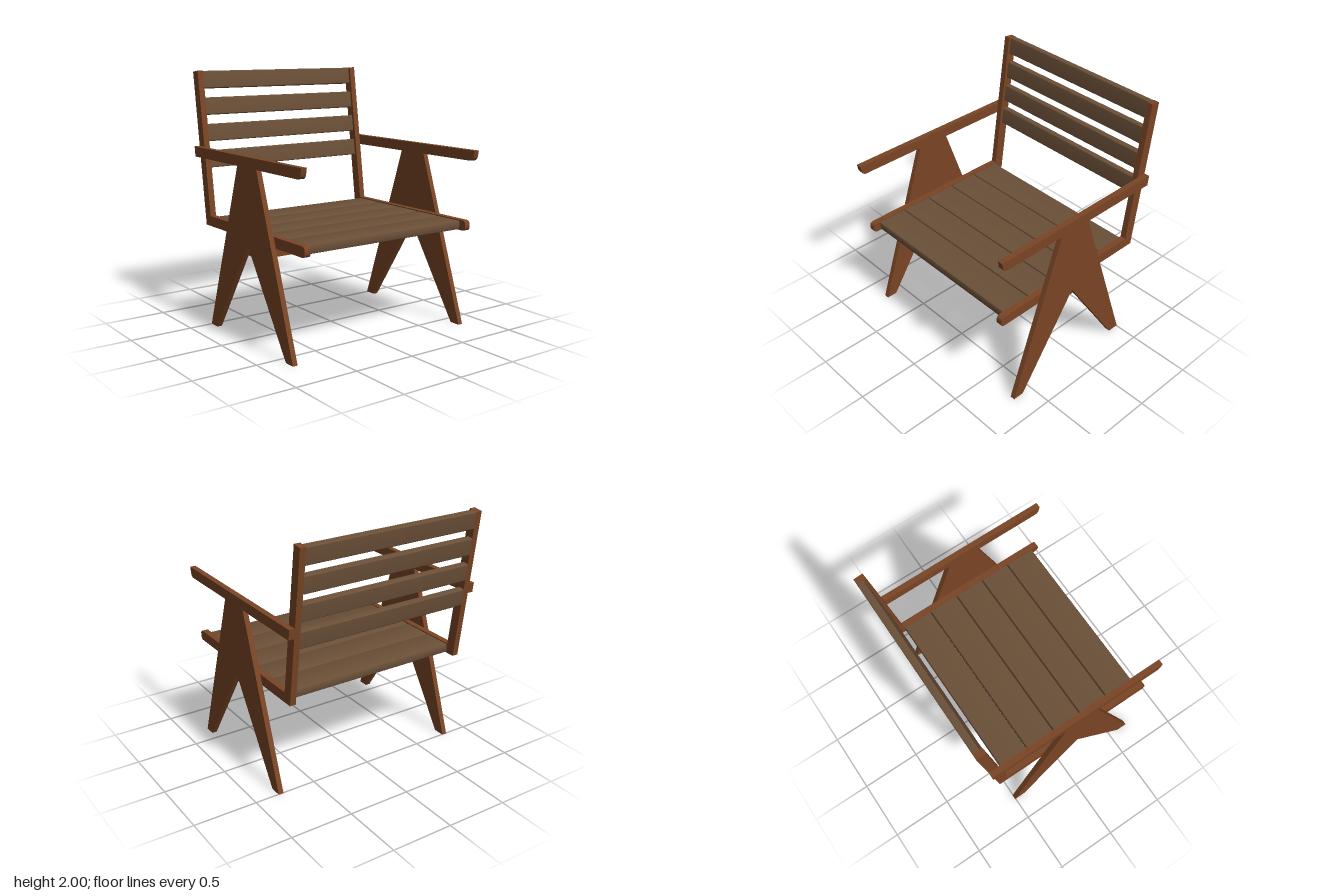
import * as THREE from 'three';
import { toCreasedNormals } from 'three/addons/utils/BufferGeometryUtils.js';

// Extrudes a side profile (drawn in z, y) across x from x0 to x1
function extrudeAcross(shape, x0, x1) {
  const g = new THREE.ExtrudeGeometry(shape, { depth: x1 - x0, bevelEnabled: false, curveSegments: 5 });
  g.rotateY(-Math.PI / 2);
  g.translate(x1, 0, 0);
  return toCreasedNormals(g, 0.6);
}

// Closed profile from [z, y, cornerRadius] points
function profile(points) {
  const shape = new THREE.Shape();
  const n = points.length;
  const toward = (a, b, d) => new THREE.Vector2(b[0] - a[0], b[1] - a[1])
    .setLength(d).add(new THREE.Vector2(a[0], a[1]));
  points.forEach((p, i) => {
    const r = p[2] || 0;
    const a = r ? toward(p, points[(i + n - 1) % n], r) : { x: p[0], y: p[1] };
    if (i === 0) shape.moveTo(a.x, a.y);
    else shape.lineTo(a.x, a.y);
    if (r) {
      const b = toward(p, points[(i + 1) % n], r);
      shape.quadraticCurveTo(p[0], p[1], b.x, b.y);
    }
  });
  shape.closePath();
  return shape;
}

function slatProfile(w, h, r) {
  return profile([[-w / 2, -h / 2, r], [w / 2, -h / 2, r], [w / 2, h / 2, r], [-w / 2, h / 2, r]]);
}

export function createModel() {
  const chair = new THREE.Group();
  chair.name = 'armchair';
  const frameWood = new THREE.MeshStandardMaterial({ color: 0x7a4525 });
  frameWood.name = 'frame wood';
  const slatWood = new THREE.MeshStandardMaterial({ color: 0x6b5038 });
  slatWood.name = 'slat wood';

  const add = (name, geometry, material, y = 0, z = 0, tilt = 0) => {
    const mesh = new THREE.Mesh(geometry, material);
    mesh.name = name;
    mesh.position.set(0, y, z);
    mesh.rotation.x = tilt;
    chair.add(mesh);
  };

  // Side profiles
  const legs = profile([
    [0.675, 0], [0.22, 1.328], [-0.05, 1.328], [-0.505, 0],
    [-0.41, 0], [0.085, 0.75], [0.585, 0],
  ]);
  const armrest = profile([
    [0.8, 1.408], [-0.711, 1.408], [-0.7, 1.328], [0.785, 1.328, 0.035],
  ]);
  const sideRail = profile([
    [0.77, 0.865, 0.035], [-0.555, 0.865], [-0.715, 2], [-0.79, 1.99],
    [-0.625, 0.785], [0.77, 0.785, 0.035],
  ]);

  // Both sides: A-shaped legs, armrest, and seat rail with back post
  for (const [side, s] of [['left', 1], ['right', -1]]) {
    const part = (name, shape, inner, outer) => add(side + name,
      extrudeAcross(shape, s > 0 ? inner : -outer, s > 0 ? outer : -inner), frameWood);
    part('Legs', legs, 0.77, 0.81);
    part('Armrest', armrest, 0.77, 0.815);
    part('SeatRailAndBackPost', sideRail, 0.722, 0.77);
  }

  // Cross beam under the seat
  add('crossBeam', new THREE.BoxGeometry(1.54, 0.105, 0.2), frameWood, 0.7125, 0.085);

  // Seat slats
  const seatSlat = extrudeAcross(slatProfile(0.245, 0.067, 0.012), -0.722, 0.722);
  for (let i = 0; i < 5; i++) add('seatSlat' + (i + 1), seatSlat, slatWood, 0.8235, 0.5825 - 0.2525 * i);

  // Back slats, leaning with the posts and flush with their rear face
  const backSlat = extrudeAcross(slatProfile(0.055, 0.137, 0.009), -0.722, 0.722);
  for (let i = 0; i < 4; i++) {
    const y = 1.926 - 0.2075 * i;
    add('backSlat' + (i + 1), backSlat, slatWood, y, -0.597 - 0.137 * (y - 0.785), -0.137);
  }
  return chair;
}
